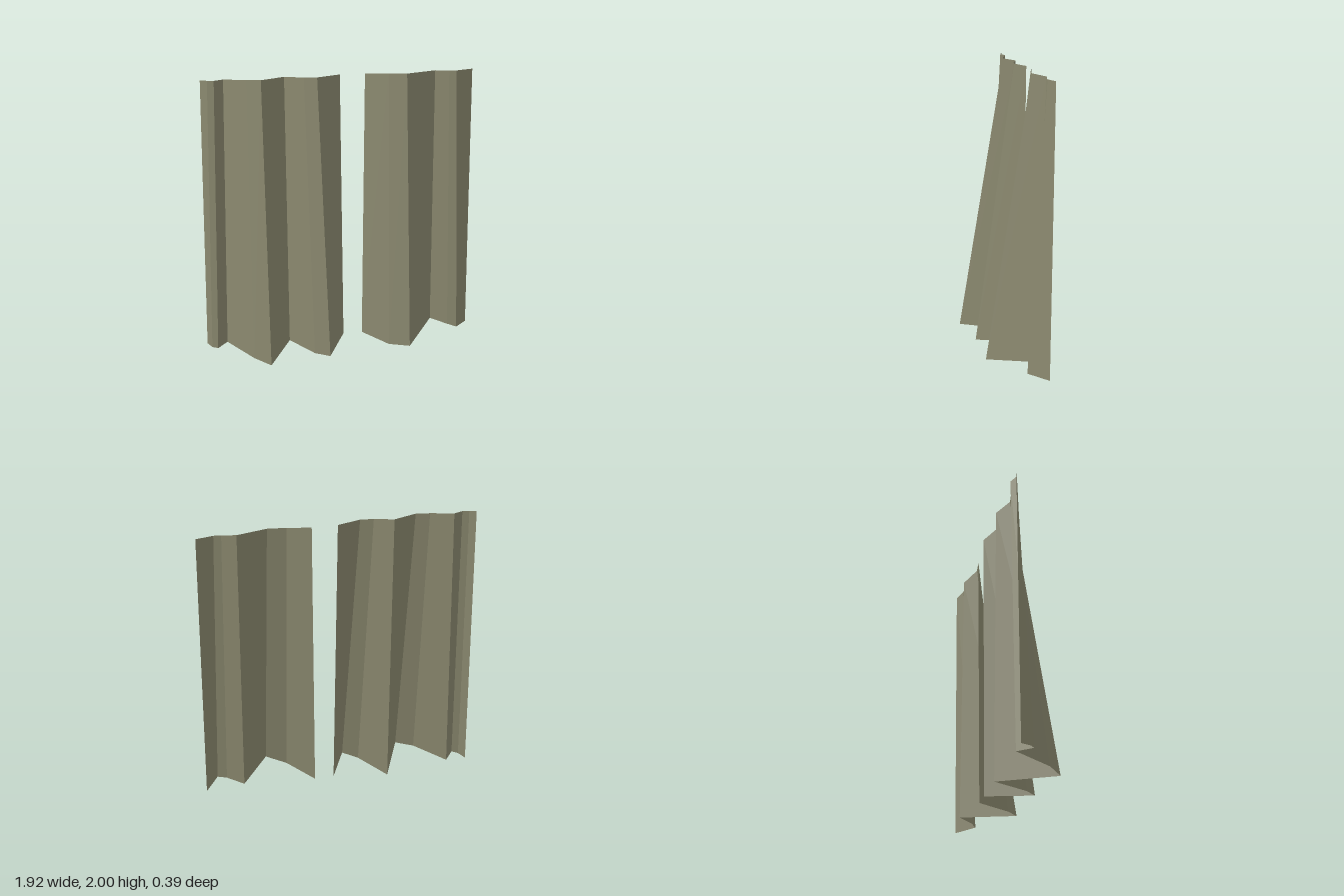
import * as THREE from 'three';

const cloth = new THREE.MeshStandardMaterial({ color: 0x8c8a70, side: THREE.DoubleSide });
cloth.name = 'olive cloth';

// Each fold line: [top x, top z, hem x, hem y, hem z]; the top edge is level at y = 2
const rightFolds = [
  [-0.942, -0.195, -0.965, 0.035, -0.175],
  [-0.895, -0.18, -0.935, 0.037, -0.105],
  [-0.85, -0.17, -0.895, 0.04, -0.075],
  [-0.785, -0.195, -0.82, 0.037, -0.17],
  [-0.63, -0.152, -0.65, 0.025, 0.095],
  [-0.535, -0.135, -0.54, 0.01, 0.195],
  [-0.37, -0.195, -0.36, 0, -0.195],
  [-0.24, -0.155, -0.21, 0.01, 0.06],
  [-0.15, -0.142, -0.11, 0.02, 0.143],
  [0.015, -0.195, 0.037, 0.037, -0.17],
];
const leftFolds = [
  [0.19, -0.195, 0.175, 0.037, -0.17],
  [0.35, -0.157, 0.33, 0.045, 0.072],
  [0.475, -0.14, 0.465, 0.065, 0.165],
  [0.685, -0.195, 0.695, 0.098, -0.195],
  [0.78, -0.173, 0.8, 0.095, -0.083],
  [0.83, -0.167, 0.86, 0.087, -0.042],
  [0.95, -0.195, 0.96, 0.065, -0.17],
];

// Pleated sheet: one four-sided face between neighbouring fold lines,
// each shaded flat with a single normal taken from its diagonals
function curtain(name, folds) {
  const positions = [], normals = [], index = [];
  for (let i = 1; i < folds.length; i++) {
    const [topL, hemL, topR, hemR] = [folds[i - 1], folds[i]].flatMap(([tx, tz, hx, hy, hz]) => [
      new THREE.Vector3(tx, 2, tz),
      new THREE.Vector3(hx, hy, hz),
    ]);
    const normal = hemR.clone().sub(topL).cross(topR.clone().sub(hemL)).normalize();
    const a = positions.length / 3;
    for (const corner of [topL, hemL, topR, hemR]) {
      positions.push(...corner);
      normals.push(...normal);
    }
    index.push(a, a + 1, a + 2, a + 2, a + 1, a + 3);
  }
  const geometry = new THREE.BufferGeometry();
  geometry.setAttribute('position', new THREE.Float32BufferAttribute(positions, 3));
  geometry.setAttribute('normal', new THREE.Float32BufferAttribute(normals, 3));
  geometry.setIndex(index);
  const mesh = new THREE.Mesh(geometry, cloth);
  mesh.name = name;
  return mesh;
}

export function createModel() {
  const group = new THREE.Group();
  group.name = 'curtains';
  group.add(curtain('rightCurtain', rightFolds), curtain('leftCurtain', leftFolds));
  return group;
}
